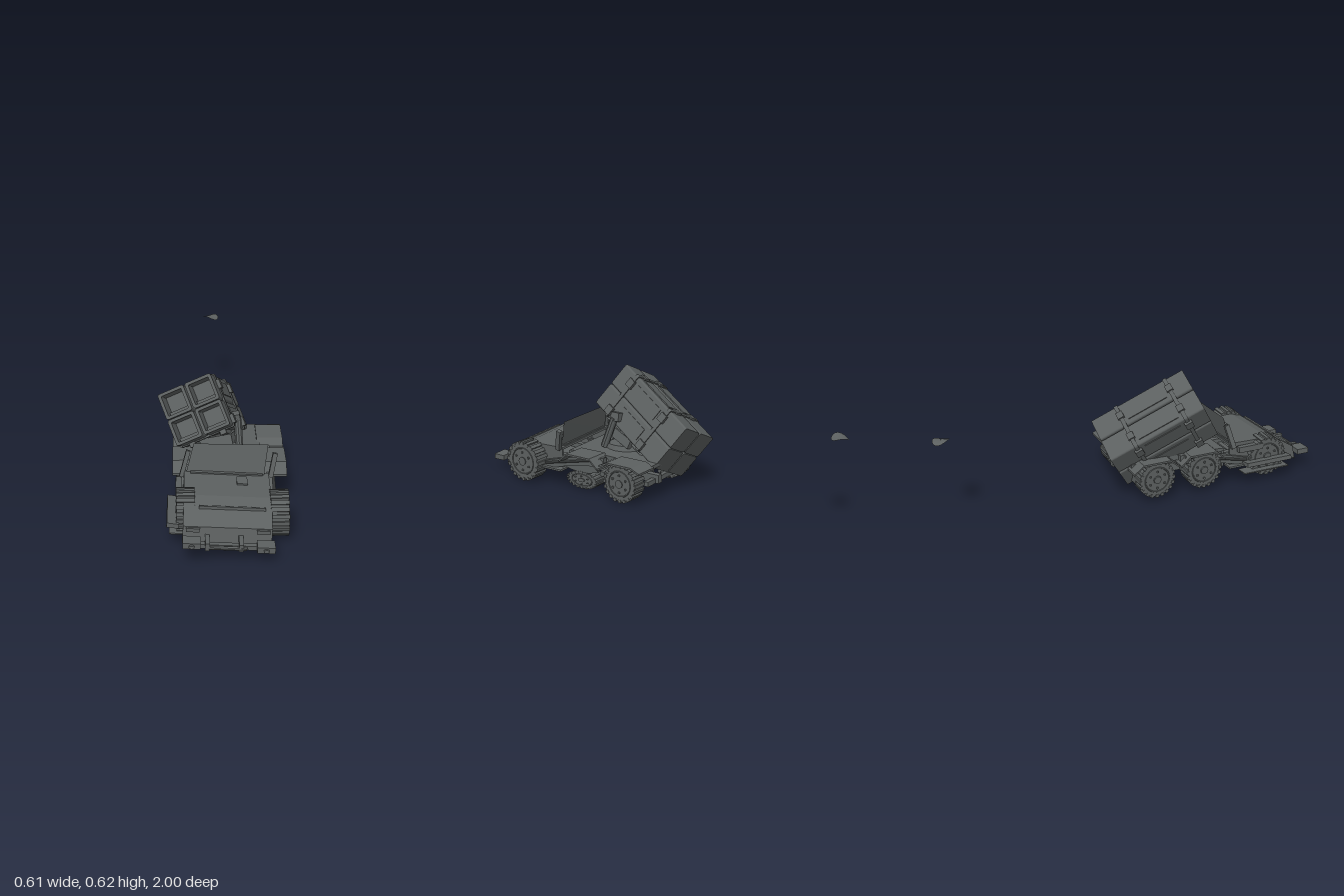
import * as THREE from 'three';

export function createModel() {
  const model = new THREE.Group();
  const grey = new THREE.MeshStandardMaterial({ color: 0x5c6060, flatShading: true, side: THREE.DoubleSide });
  grey.name = 'weathered grey';

  const add = (parent, name, geo, x = 0, y = 0, z = 0) => {
    const m = new THREE.Mesh(geo, grey);
    m.name = name;
    m.position.set(x, y, z);
    parent.add(m);
    return m;
  };
  const group = (parent, name) => {
    const g = new THREE.Group();
    g.name = name;
    parent.add(g);
    return g;
  };
  const box = (parent, name, w, h, d, x, y, z) => add(parent, name, new THREE.BoxGeometry(w, h, d), x, y, z);

  // bar or rod between two points
  const bar = (parent, name, a, b, w, d, round = false) => {
    const p = new THREE.Vector3(...a), q = new THREE.Vector3(...b), len = p.distanceTo(q);
    const m = add(parent, name, round ? new THREE.CylinderGeometry(w, w, len, 10) : new THREE.BoxGeometry(w, len, d));
    m.position.copy(p).add(q).multiplyScalar(0.5);
    m.quaternion.setFromUnitVectors(new THREE.Vector3(0, 1, 0), q.sub(p).normalize());
    return m;
  };

  // (z, y) side profile extruded from x0 to x1
  const profile = (parent, name, pts, x0, x1) => {
    const geo = new THREE.ExtrudeGeometry(new THREE.Shape(pts.map(p => new THREE.Vector2(...p))), { depth: x1 - x0, bevelEnabled: false });
    geo.rotateY(-Math.PI / 2).translate(x1, 0, 0);
    return add(parent, name, geo);
  };
  // bent sheet following a (z, y) line
  const sheet = (parent, name, pts, t, x0, x1) =>
    profile(parent, name, [...pts, ...[...pts].reverse().map(([z, y]) => [z, y - t])], x0, x1);

  // wheels with tread bars and bolted hubs
  const wheel = (name, x, y, z, r, side) => {
    const g = group(model, name), w = 0.085;
    g.position.set(x, y, z);
    add(g, 'tyre', new THREE.CylinderGeometry(r * 0.92, r * 0.92, w * 0.94, 24).rotateZ(Math.PI / 2));
    for (let i = 0; i < 20; i++) {
      const a = i / 20 * Math.PI * 2;
      const t = box(g, 'tread', w, r * 0.16, r * 0.17, 0, Math.cos(a) * r * 0.91, Math.sin(a) * r * 0.91);
      t.rotation.x = a;
    }
    add(g, 'rim', new THREE.TorusGeometry(r * 0.66, 0.004, 6, 24).rotateY(Math.PI / 2), side * w * 0.47);
    add(g, 'hub', new THREE.CylinderGeometry(r * 0.2, r * 0.22, 0.008, 10).rotateZ(Math.PI / 2), side * w * 0.5);
    for (let i = 0; i < 6; i++) {
      const a = i / 6 * Math.PI * 2;
      add(g, 'bolt', new THREE.CylinderGeometry(0.006, 0.006, 0.008, 6).rotateZ(Math.PI / 2), side * w * 0.5, Math.cos(a) * r * 0.45, Math.sin(a) * r * 0.45);
    }
    return g;
  };
  wheel('leftFrontWheel', 0.248, 0.108, 0.72, 0.108, 1);
  wheel('rightFrontWheel', -0.18, 0.127, 0.72, 0.106, -1);
  wheel('rightMiddleWheel', -0.18, 0.12, 0.35, 0.1, -1);
  wheel('leftRearWheel', 0.245, 0.104, 0.085, 0.1, 1);
  wheel('rightRearWheel', -0.18, 0.118, 0.085, 0.1, -1);
  // crushed wheel
  wheel('leftMiddleWheel', 0.183, 0.052, 0.375, 0.1, 1).scale.y = 0.47;

  // angular fenders
  const fender = (name, z, y, x0, x1, drop) =>
    sheet(model, name, [[z - 0.125, y - drop], [z - 0.075, y], [z + 0.075, y], [z + 0.125, y - drop]], 0.01, x0, x1);
  fender('leftRearFender', 0.075, 0.209, 0.175, 0.305, 0.022);
  fender('leftMiddleFender', 0.335, 0.209, 0.175, 0.305, 0.045);
  fender('rightRearFender', 0.075, 0.222, -0.242, -0.13, 0.04);
  fender('rightMiddleFender', 0.335, 0.222, -0.242, -0.13, 0.045);

  // front body, slightly rolled to one side
  const front = group(model, 'frontBody');
  front.rotation.z = -0.06;
  const hood = [[0.51, 0.212], [0.74, 0.207], [0.8, 0.187], [0.89, 0.13], [0.905, 0.065]];
  sheet(front, 'hood', hood, 0.012, -0.2, 0.2);
  for (const x of [-0.2, 0.19]) {
    profile(front, 'sidePanel', [...hood, [0.89, 0.06], [0.51, 0.085]], x, x + 0.01);
  }
  box(front, 'cabFloor', 0.38, 0.012, 0.34, 0, 0.095, 0.69);
  box(front, 'dashPlate', 0.34, 0.012, 0.025, 0, 0.212, 0.53);
  box(front, 'hatch', 0.05, 0.008, 0.07, 0.07, 0.213, 0.6);
  for (const x of [-0.155, 0.16]) box(front, 'headlight', 0.06, 0.018, 0.02, x, 0.117, 0.892);
  box(front, 'hoodRidge', 0.3, 0.02, 0.012, 0.02, 0.182, 0.808);
  for (const x of [-0.09, 0.06]) box(front, 'towBracket', 0.02, 0.035, 0.1, x, 0.08, 0.93);
  box(front, 'bumperBar', 0.3, 0.02, 0.025, 0, 0.073, 0.95);
  add(front, 'winchRod', new THREE.CylinderGeometry(0.009, 0.009, 0.17, 10).rotateZ(Math.PI / 2), 0, 0.075, 0.973);
  for (const [x, y] of [[-0.16, 0.088], [0.17, 0.08]]) {
    box(front, 'bumperEnd', 0.08, 0.028, 0.066, x, y, 0.957);
    add(front, 'lamp', new THREE.CylinderGeometry(0.013, 0.013, 0.01, 12).rotateX(Math.PI / 2).scale(1, 0.6, 1), x, y, 0.995);
  }
  box(front, 'rightStep', 0.07, 0.006, 0.26, -0.225, 0.053, 0.7);
  box(front, 'rightMudguard', 0.055, 0.022, 0.26, -0.245, 0.1, 0.71).rotation.z = -0.1;
  box(front, 'rightUpperGuard', 0.03, 0.03, 0.14, -0.222, 0.18, 0.62);

  // raked windscreen with leaning posts
  const screen = [[-0.18, 0.205, 0.53], [0.19, 0.2, 0.53], [0.21, 0.342, 0.495], [-0.14, 0.353, 0.495]];
  const screenGeo = new THREE.BufferGeometry();
  screenGeo.setAttribute('position', new THREE.Float32BufferAttribute([0, 1, 2, 0, 2, 3].flatMap(i => screen[i]), 3));
  screenGeo.computeVertexNormals();
  add(model, 'windscreen', screenGeo);
  bar(model, 'rightPost', [-0.2, 0.2, 0.53], [-0.165, 0.32, 0.5], 0.02, 0.025);
  bar(model, 'leftPost', [0.22, 0.19, 0.53], [0.243, 0.3, 0.5], 0.022, 0.025);

  // rear chassis, deck and frame
  const rear = group(model, 'rearChassis');
  rear.rotation.z = -0.04;
  profile(rear, 'deck', [[-0.04, 0.18], [-0.04, 0.2], [0.3, 0.21], [0.48, 0.195], [0.48, 0.18]], -0.19, 0.18);
  box(rear, 'cabBackWall', 0.36, 0.1, 0.012, 0, 0.14, 0.48);
  for (const x of [-0.09, 0.09]) box(rear, 'frameRail', 0.03, 0.045, 0.9, x, 0.105, 0.42);
  for (const z of [0.0, 0.17, 0.28, 0.47, 0.6, 0.85]) box(rear, 'crossMember', 0.34, 0.025, 0.025, 0, 0.095, z);
  for (const z of [0.085, 0.365, 0.72]) {
    add(rear, 'axle', new THREE.CylinderGeometry(0.014, 0.014, 0.38, 8).rotateZ(Math.PI / 2), 0.02, 0.112, z);
    add(rear, 'differential', new THREE.SphereGeometry(0.026, 10, 8), 0.02, 0.112, z);
  }
  for (const s of [-1, 1]) {
    const x = s > 0 ? 0.215 : -0.2;
    sheet(rear, 'sideSkirt', [[0.22, 0.21], [0.44, 0.175], [0.62, 0.125]], 0.045, x - 0.012, x + 0.012);
    bar(rear, 'sideRod', [x + s * 0.02, 0.2, 0.24], [x + s * 0.02, 0.12, 0.6], 0.007, 0, true);
    box(rear, 'footStep', 0.06, 0.01, 0.13, x, 0.095, 0.56);
  }
  // bodywork pressed down over the crushed wheel
  profile(rear, 'leftLowerPanel', [[0.25, 0.2], [0.27, 0.12], [0.33, 0.105], [0.43, 0.105], [0.5, 0.12], [0.46, 0.18]], 0.2, 0.22);

  // turntable and lifting gear
  add(model, 'turntable', new THREE.CylinderGeometry(0.11, 0.12, 0.03, 20), -0.01, 0.215, 0.25);
  box(model, 'cradle', 0.16, 0.05, 0.18, -0.01, 0.25, 0.24).rotation.set(-0.3, -0.24, 0.2);
  bar(model, 'liftCylinder', [0.085, 0.21, 0.33], [0.075, 0.37, 0.27], 0.02, 0, true);
  bar(model, 'liftArm', [0.03, 0.21, 0.36], [0.0, 0.31, 0.27], 0.03, 0.03);
  box(model, 'upperControlBox', 0.045, 0.035, 0.05, 0.025, 0.38, 0.28).rotation.z = 0.4;
  box(model, 'lowerControlBox', 0.04, 0.045, 0.05, 0.068, 0.375, 0.26).rotation.z = 0.2;

  // four-cell launcher: raised, turned and rolled
  const launcher = group(model, 'launcher');
  const fwd = new THREE.Vector3(-0.214, 0.468, 0.857).normalize();
  const side = new THREE.Vector3(0.912, 0.41, 0);
  side.addScaledVector(fwd, -side.dot(fwd)).normalize();
  const up = fwd.clone().cross(side);
  launcher.quaternion.setFromRotationMatrix(new THREE.Matrix4().makeBasis(side, up, fwd));
  launcher.position.set(-0.083, 0.341, 0.132);

  const roundedSquare = (Type, w, h, r) => {
    const s = new Type();
    [[1, 1, 0], [-1, 1, 1], [-1, -1, 2], [1, -1, 3]].forEach(([sx, sy, q]) =>
      s.absarc(sx * (w / 2 - r), sy * (h / 2 - r), r, q * Math.PI / 2, (q + 1) * Math.PI / 2, false));
    s.closePath();
    return s;
  };
  const length = 0.525, mouth = 0.1;
  const extrude = (shape, depth) => new THREE.ExtrudeGeometry(shape, { depth, bevelEnabled: false, curveSegments: 3 });
  const mouthShape = roundedSquare(THREE.Shape, 0.134, 0.13, 0.01);
  mouthShape.holes.push(roundedSquare(THREE.Path, 0.104, 0.101, 0.004));
  for (const x of [-0.071, 0.071]) for (const y of [-0.067, 0.067]) {
    const cell = group(launcher, 'launchCell');
    cell.position.set(x, y, 0);
    add(cell, 'cellBody', extrude(roundedSquare(THREE.Shape, 0.134, 0.13, 0.01), length - mouth), 0, 0, -length / 2);
    add(cell, 'cellMouth', extrude(mouthShape, mouth), 0, 0, length / 2 - mouth);
    box(cell, 'innerLedge', 0.1, 0.02, 0.05, 0, -0.042, length / 2 - 0.07);
  }
  // straps, clamps and raised panels
  for (const z of [-0.13, 0.15]) {
    const strap = roundedSquare(THREE.Shape, 0.287, 0.276, 0.012);
    strap.holes.push(roundedSquare(THREE.Path, 0.268, 0.256, 0.008));
    add(launcher, 'strap', extrude(strap, 0.02), 0, 0, z);
    for (const s of [-1, 1]) {
      for (const y of [-0.1, 0.08]) box(launcher, 'clamp', 0.018, 0.045, 0.04, s * 0.146, y, z + 0.01);
      box(launcher, 'topClamp', 0.04, 0.012, 0.035, s * 0.071, 0.138, z + 0.01);
    }
  }
  for (const x of [-0.071, 0.071]) box(launcher, 'topPanel', 0.085, 0.006, 0.22, x, 0.134, 0.02);
  for (const s of [-1, 1]) for (const y of [-0.067, 0.067]) box(launcher, 'sidePanel', 0.006, 0.07, 0.2, s * 0.139, y, 0.02);
  for (const x of [-0.08, 0.08]) box(launcher, 'supportRail', 0.03, 0.025, 0.36, x, -0.142, 0);

  // detached round cover behind, bent along its diagonal
  const radius = 0.042;
  const cover = new THREE.RingGeometry(0.0005, radius, 24, 5).rotateX(-Math.PI / 2);
  const p = cover.attributes.position;
  for (let i = 0; i < p.count; i++) {
    const along = (p.getX(i) - p.getZ(i)) / Math.SQRT2 / radius, across = (p.getX(i) + p.getZ(i)) / Math.SQRT2 / radius;
    p.setY(i, 0.003 * along * along - 0.005 * along - 0.015 * across * across);
  }
  add(model, 'bentCover', cover, -0.03, 0.455, -0.957);
  return model;
}
